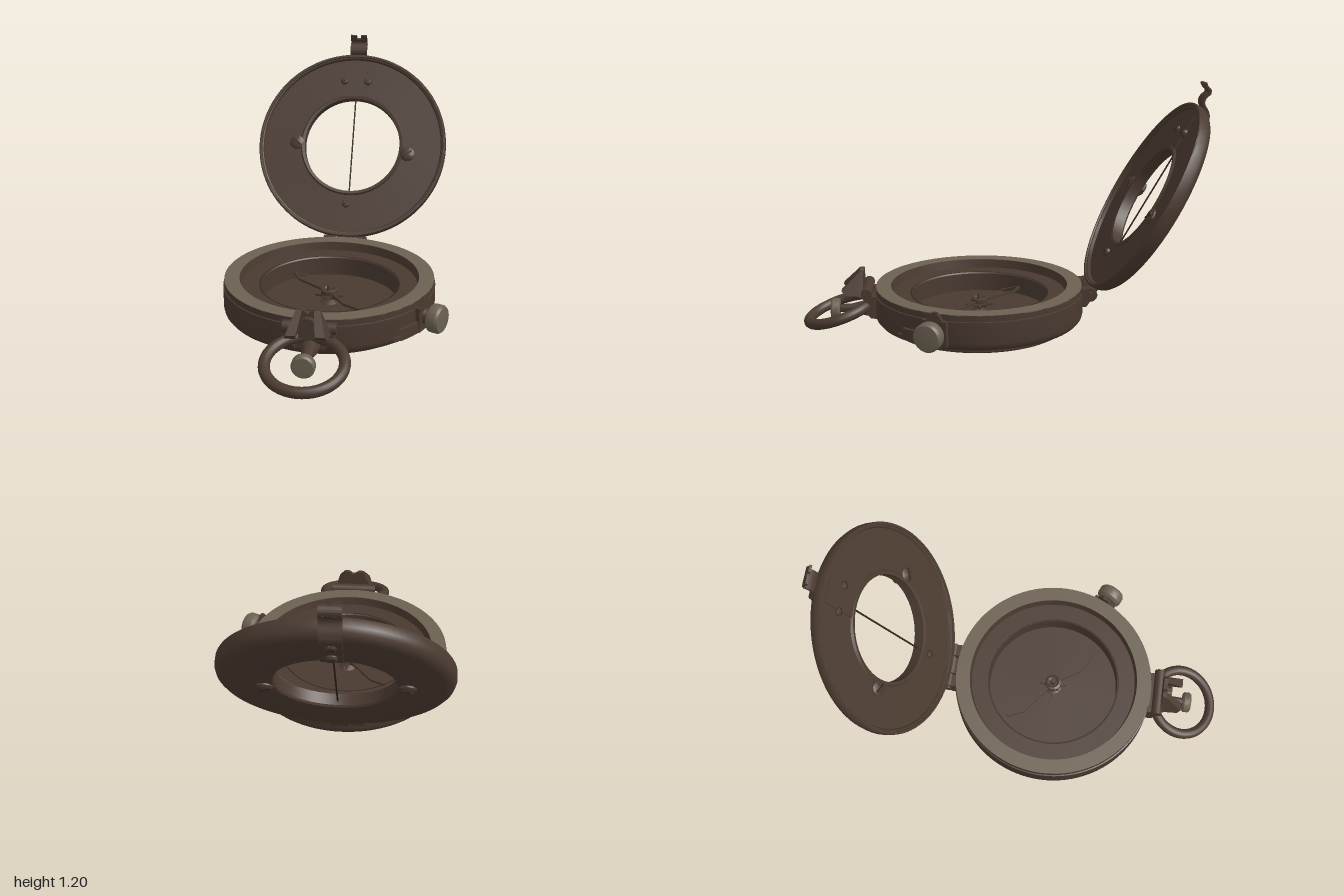
import * as THREE from 'three';
import { toCreasedNormals } from 'three/addons/utils/BufferGeometryUtils.js';

const material = (name, color) => {
  const m = new THREE.MeshStandardMaterial({ color });
  m.name = name;
  return m;
};
const brown = material('aged bronze', 0x4a3a30);
const grey = material('worn rim', 0x6b6152);
const dark = material('dark wire', 0x2e251e);

function add(parent, name, geometry, mat = brown, x = 0, y = 0, z = 0) {
  const mesh = new THREE.Mesh(geometry, mat);
  mesh.name = name;
  mesh.position.set(x, y, z);
  parent.add(mesh);
  return mesh;
}
function subgroup(parent, name, x = 0, y = 0, z = 0) {
  const g = new THREE.Group();
  g.name = name;
  g.position.set(x, y, z);
  parent.add(g);
  return g;
}
const vec = (pts) => pts.map(([a, b]) => new THREE.Vector2(a, b));
const lathe = (pts, seg = 80, start = 0, sweep = Math.PI * 2) =>
  toCreasedNormals(new THREE.LatheGeometry(vec(pts), seg, start, sweep), 0.6);
const box = (w, h, d) => new THREE.BoxGeometry(w, h, d);
const rod = (r, length) => new THREE.CylinderGeometry(r, r, length, 20).rotateZ(Math.PI / 2);
const extrude = (shape, depth) =>
  new THREE.ExtrudeGeometry(shape, { depth, bevelEnabled: false, curveSegments: 16 });
// Side profile given as (z, y), extruded to a width along x
const sideExtrude = (pts, width) =>
  extrude(new THREE.Shape(vec(pts)), width).translate(0, 0, -width / 2).rotateY(-Math.PI / 2);

// Bent strip of even thickness following points (z, y)
function ribbon(pts, width, thick = 0.012) {
  const curve = new THREE.SplineCurve(vec(pts));
  const top = [], bottom = [];
  for (let i = 0; i <= 24; i++) {
    const p = curve.getPoint(i / 24), t = curve.getTangent(i / 24);
    top.push([p.x - t.y * thick / 2, p.y + t.x * thick / 2]);
    bottom.push([p.x + t.y * thick / 2, p.y - t.x * thick / 2]);
  }
  return toCreasedNormals(sideExtrude([...bottom, ...top.reverse()], width), 0.6);
}

// Domed screw head with a slot, pointing along +y
function screw(parent, x, y, z, r, flip = false, turn = 0.6) {
  const g = subgroup(parent, 'screw', x, y, z);
  add(g, 'screwHead', lathe([[0, -0.01], [r, -0.01], [r, 0.006], [r * 0.75, 0.014], [0, 0.017]], 24));
  add(g, 'screwSlot', box(r * 1.5, 0.004, r * 0.2), dark, 0, 0.015, 0).rotation.y = turn;
  if (flip) g.rotation.x = Math.PI;
}

function buildCase(root) {
  const g = subgroup(root, 'case', 0, 0, 0.122);
  add(g, 'caseBody', lathe([
    [0, 0.012], [0.1, 0.012], [0.105, 0.005], [0.27, 0.005], [0.28, 0.012], [0.295, 0],
    [0.44, 0], [0.45, 0.008], [0.45, 0.026], [0.475, 0.026], [0.5, 0.036], [0.513, 0.052],
    [0.517, 0.07], [0.517, 0.172], [0.511, 0.174], [0.511, 0.203], [0.437, 0.203],
    [0.43, 0.16], [0.345, 0.16], [0.338, 0.153], [0.338, 0.06], [0, 0.06]], 96));
  add(g, 'rimTop', lathe([[0.511, 0.2], [0.511, 0.205], [0.438, 0.205], [0.438, 0.2]], 96), grey);
  add(g, 'bezelSeam', new THREE.RingGeometry(0.337, 0.343, 80).rotateX(-Math.PI / 2), dark, 0, 0.162, 0);

  // Needle with two open spear-shaped arms
  const needle = subgroup(g, 'needle', 0, 0.105, 0);
  needle.rotation.y = -0.795;
  [[1, 0.16, 0.002], [-1, 0.22, 0.012]].forEach(([side, wide, tip]) => {
    const outline = (inset) => vec([
      [0.03 + inset * 2.5, 0.012 - inset * 0.5], [wide, 0.036 - inset], [0.3 - inset * 2, tip * 0.6],
      [0.3 - inset * 2, -tip * 0.6], [wide, -0.036 + inset], [0.03 + inset * 2.5, -0.012 + inset * 0.5]]);
    const shape = new THREE.Shape(outline(0));
    shape.holes.push(new THREE.Path(outline(0.012)));
    const arm = add(needle, 'needleArm', extrude(shape, 0.012).rotateX(-Math.PI / 2));
    arm.rotation.y = side > 0 ? 0 : Math.PI;
  });
  const star = [];
  for (let i = 0; i < 16; i++) {
    const a = i * Math.PI / 8, r = i % 2 ? 0.03 : i % 4 ? 0.05 : 0.07;
    star.push([r * Math.cos(a), r * Math.sin(a)]);
  }
  add(g, 'starPlate', extrude(new THREE.Shape(vec(star)), 0.012).rotateX(-Math.PI / 2), brown, 0, 0.085, 0);
  add(g, 'pivot', lathe([[0.045, 0.06], [0.02, 0.075], [0.02, 0.105], [0.042, 0.105], [0.042, 0.125],
    [0.03, 0.13], [0.02, 0.122], [0.014, 0.122], [0.01, 0.145], [0, 0.148]], 28));
}

function buildLid(root) {
  // Local +y is the outer face, local +z runs from hinge to clasp
  const g = subgroup(root, 'lid', 0, 0.65, -0.67);
  g.rotation.x = -Math.PI * 2 / 3;
  add(g, 'lidRing', lathe([
    [0.263, 0.017], [0.278, 0.014], [0.286, 0.024], [0.488, 0.024], [0.494, 0.01], [0.5, 0.008], [0.502, 0],
    [0.513, 0], [0.517, 0.008], [0.517, 0.04], [0.509, 0.06], [0.492, 0.075], [0.465, 0.082],
    [0.285, 0.082], [0.27, 0.079], [0.263, 0.07], [0.263, 0.017]], 96));
  add(g, 'sightWire', box(0.007, 0.006, 0.54), dark, 0, 0.05, 0);
  add(g, 'innerPlate', box(0.12, 0.008, 0.2), brown, 0, 0.022, 0.365);
  [-1, 1].forEach((s) => {
    screw(g, s * 0.065, 0.022, 0.365, 0.021, true);
    screw(g, s * 0.308, 0.022, -0.02 - s * 0.022, 0.04, true, s * 0.6);
    screw(g, s * 0.308, 0.083, -0.02 - s * 0.022, 0.04, false, s * 0.6);
  });
  screw(g, -0.01, 0.022, -0.335, 0.021, true);

  // Wavy spring clasp with a split tip
  add(g, 'claspStrip', ribbon([[0.28, 0.086], [0.4, 0.088], [0.47, 0.092], [0.505, 0.076],
    [0.532, 0.034], [0.56, 0.024], [0.592, 0.033]], 0.094));
  [-1, 1].forEach((s) => {
    add(g, 'claspTip', ribbon([[0.588, 0.033], [0.604, 0.026], [0.612, 0.004], [0.624, -0.012]], 0.034),
      brown, s * 0.028, 0, 0);
  });
  add(g, 'claspTipBase', ribbon([[0.588, 0.033], [0.604, 0.026], [0.611, 0.006]], 0.092));
  [0.33, 0.43].forEach((z) => screw(g, 0, 0.093, z, 0.026));
}

function buildHinge(root) {
  const g = subgroup(root, 'hinge', 0, 0.165, -0.422);
  add(g, 'hingePin', rod(0.018, 0.25));
  add(g, 'lidKnuckle', rod(0.034, 0.085));
  add(g, 'lidLeaf', box(0.085, 0.1, 0.025), brown, 0, 0.025, -0.045).rotation.x = -0.52;
  [-1, 1].forEach((s) => {
    add(g, 'caseKnuckle', rod(0.034, 0.06), brown, s * 0.085, 0, 0);
    add(g, 'caseLug', sideExtrude([[0, 0.03], [0, -0.03], [0.02, -0.06], [0.06, -0.06], [0.06, 0.03]], 0.06),
      brown, s * 0.085, 0, 0);
  });
}

function buildFrontLatch(root) {
  const g = subgroup(root, 'frontLatch');
  add(g, 'mountPlate', box(0.2, 0.1, 0.04), brown, 0, 0.12, 0.63);
  add(g, 'latchBarrel', rod(0.027, 0.24), brown, 0, 0.187, 0.675);
  const back = new THREE.Shape(vec([[-0.1, 0.17], [0.1, 0.17], [0.05, 0.285], [0.025, 0.285],
    [0, 0.265], [-0.025, 0.285], [-0.05, 0.285]]));
  add(g, 'sightPlate', extrude(back, 0.02), brown, 0, 0, 0.692);

  const arch = new THREE.Shape();
  arch.moveTo(-0.04, 0.165);
  arch.lineTo(0.04, 0.165);
  arch.lineTo(0.04, 0.215);
  arch.absarc(0, 0.215, 0.04, 0, Math.PI);
  add(g, 'sightArch', toCreasedNormals(extrude(arch, 0.03), 0.6), brown, 0, 0, 0.71);

  [-1, 1].forEach((s) => {
    // Cheeks lean toward the middle as they rise
    const cheek = sideExtrude([[0.705, 0.172], [0.78, 0.178], [0.797, 0.2], [0.712, 0.284], [0.705, 0.284]], 0.05)
      .translate(s * 0.072, 0, 0);
    const p = cheek.attributes.position;
    for (let i = 0; i < p.count; i++) p.setX(i, p.getX(i) * (1 - 4 * (p.getY(i) - 0.172)));
    cheek.computeVertexNormals();
    add(g, 'sightCheek', cheek);
    add(g, 'ringBracket', sideExtrude([[0.62, 0.06], [0.655, 0.065], [0.69, 0.1], [0.69, 0.175], [0.62, 0.175]],
      0.035), brown, s * 0.09, 0, 0);
  });

  const ring = add(g, 'carryRing', new THREE.TorusGeometry(0.174, 0.026, 16, 64), brown, 0, 0.08, 0.812);
  ring.rotation.x = Math.PI / 2 + 0.31;
  ring.scale.y = 0.95;

  const stud = lathe([[0.045, 0.61], [0.04, 0.68], [0.022, 0.76], [0.02, 0.82]], 24).rotateX(Math.PI / 2);
  add(g, 'studNeck', stud, brown, 0, 0.085, 0);
  const knob = lathe([[0, 0], [0.046, 0], [0.053, 0.008], [0.053, 0.034], [0.045, 0.043], [0, 0.045]], 28);
  add(g, 'studKnob', knob.rotateX(Math.PI / 2), grey, 0, 0.083, 0.815);
}

function buildSideKnob(root) {
  const g = subgroup(root, 'sideLock', 0, 0, 0.122);
  const deg = Math.PI / 180;
  // Curved lever hugging the case wall
  const lever = lathe([[0.51, 0.055], [0.534, 0.055], [0.534, 0.11], [0.51, 0.11]], 12, 46 * deg, 24 * deg);
  add(g, 'lockLever', lever);
  const knob = subgroup(g, 'lockKnob', 0, 0.12, 0);
  knob.rotation.y = -24.5 * deg;
  const axis = (geo) => geo.rotateZ(-Math.PI / 2);
  add(knob, 'lockPlate', box(0.03, 0.12, 0.12), brown, 0.52, -0.005, 0);
  const fin = new THREE.Shape(vec([[-0.045, 0.05], [0.045, 0.05], [0.012, 0.095], [-0.012, 0.095]]));
  add(knob, 'lockFin', extrude(fin, 0.016).translate(0, 0, -0.008).rotateY(Math.PI / 2), brown, 0.526, 0, 0);
  add(knob, 'lockNeck', axis(lathe([[0.045, 0.52], [0.034, 0.545], [0.03, 0.57]], 24)));
  add(knob, 'lockGrip', axis(lathe([[0, 0.558], [0.05, 0.558], [0.066, 0.57], [0.068, 0.58],
    [0.068, 0.612], [0.06, 0.624], [0, 0.63]], 32)), grey);
  const end = lathe([[0.517, 0.055], [0.53, 0.055], [0.53, 0.075], [0.517, 0.075]], 6, 42 * deg, 5 * deg);
  add(g, 'leverEnd', end);
}

export function createModel() {
  const model = new THREE.Group();
  model.name = 'pocketCompass';
  const root = subgroup(model, 'compass', -0.045, 0, 0);
  buildCase(root);
  buildLid(root);
  buildHinge(root);
  buildFrontLatch(root);
  buildSideKnob(root);
  return model;
}
